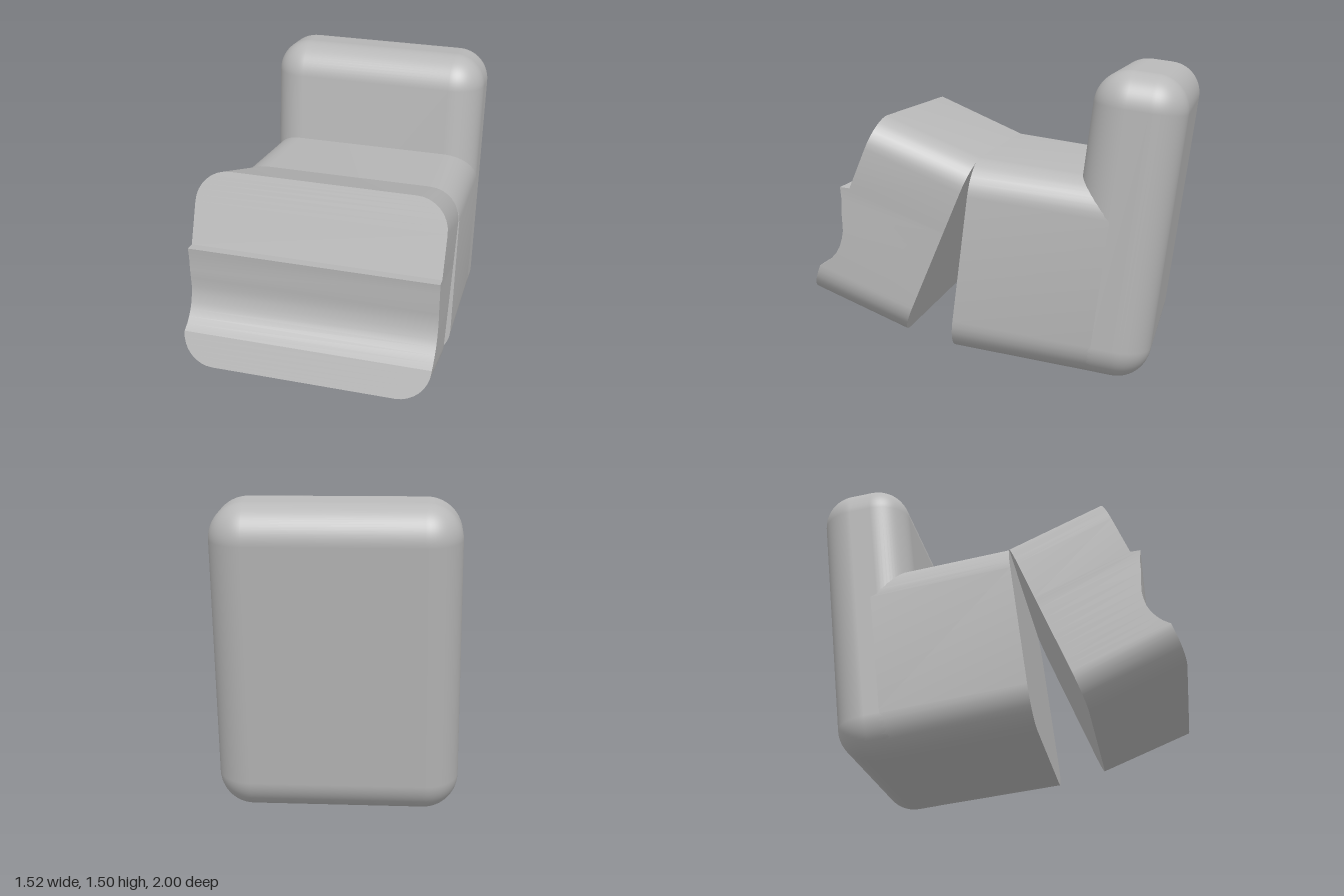
import * as THREE from 'three';
import { toCreasedNormals } from 'three/addons/utils/BufferGeometryUtils.js';
import { RoundedBoxGeometry } from 'three/addons/geometries/RoundedBoxGeometry.js';

const rad = THREE.MathUtils.degToRad;

// Block with rounded long edges: stacked four-point rows from bottom to top.
// back / front give [left, right, z]; groove lists [height, z] points on the front face.
function roundedBlock(y0, y1, r, back, front, groove = []) {
  const rows = [];
  const steps = 8;
  const inset = (y) => {
    const d = Math.min(y - y0, y1 - y);
    return d >= r ? 0 : r - Math.sqrt(Math.max(0, r * r - (r - d) ** 2));
  };
  for (let i = 0; i <= steps; i++) {
    const d = r * (1 - Math.cos((i / steps) * Math.PI / 2));
    rows.push([y0 + d, front[2]], [y1 - d, front[2]]);
  }
  const first = groove.length ? groove[0][0] : Infinity;
  const last = groove.length ? groove[groove.length - 1][0] : -Infinity;
  const all = rows.filter(([y]) => y < first || y > last).concat(groove);
  all.sort((a, b) => a[0] - b[0]);

  const pos = [];
  const index = [];
  for (const [y, z] of all) {
    const k = inset(y);
    pos.push(back[0] + k, y, back[2], front[0] + k, y, z,
      front[1] - k, y, z, back[1] - k, y, back[2]);
  }
  for (let i = 0; i < all.length - 1; i++) {
    for (let j = 0; j < 4; j++) {
      const a = i * 4 + j, b = i * 4 + (j + 1) % 4;
      index.push(a, b, b + 4, a, b + 4, a + 4);
    }
  }
  const t = (all.length - 1) * 4;
  index.push(t, t + 1, t + 2, t, t + 2, t + 3, 0, 2, 1, 0, 3, 2);

  const geo = new THREE.BufferGeometry();
  geo.setAttribute('position', new THREE.Float32BufferAttribute(pos, 3));
  geo.setIndex(index);
  return toCreasedNormals(geo, 0.6);
}

export function createModel() {
  const grey = new THREE.MeshStandardMaterial({ color: 0xb8b8b8 });
  grey.name = 'grey';

  const model = new THREE.Group();
  model.name = 'hingedBlock';
  const body = new THREE.Group();
  body.name = 'body';
  body.rotation.y = rad(-12);
  model.add(body);

  const section = (name, pitch) => {
    const g = new THREE.Group();
    g.name = name;
    g.rotation.x = rad(-pitch);
    body.add(g);
    return g;
  };
  const add = (parent, name, geo) => {
    const m = new THREE.Mesh(geo, grey);
    m.name = name;
    parent.add(m);
    return m;
  };

  // Rear section: upright rounded back with a flat-cut block in front of it
  const rear = section('rearSection', 7.3);
  const upright = add(rear, 'upright', new RoundedBoxGeometry(1.16, 1.499, 0.451, 8, 0.17));
  upright.position.set(0.03, 0.8235, -0.5325);
  add(rear, 'rearBlock',
    roundedBlock(0.074, 1.045, 0.17, [-0.549, 0.609, -0.54], [-0.574, 0.622, 0.208]));

  // Front section: tips the other way and meets the rear along the top edge
  const front = section('frontSection', 23);
  add(front, 'frontBlock',
    roundedBlock(-0.018, 0.949, 0.16, [-0.574, 0.622, 0.477], [-0.592, 0.642, 0.988], [
      // scooped channel with a projecting upper lip
      [0.143, 0.988], [0.175, 0.962], [0.207, 0.945], [0.243, 0.933], [0.279, 0.929],
      [0.32, 0.933], [0.36, 0.942], [0.405, 0.963], [0.45, 0.985], [0.51, 1.008],
      [0.56, 1.035], [0.575, 0.988],
    ]));

  return model;
}
